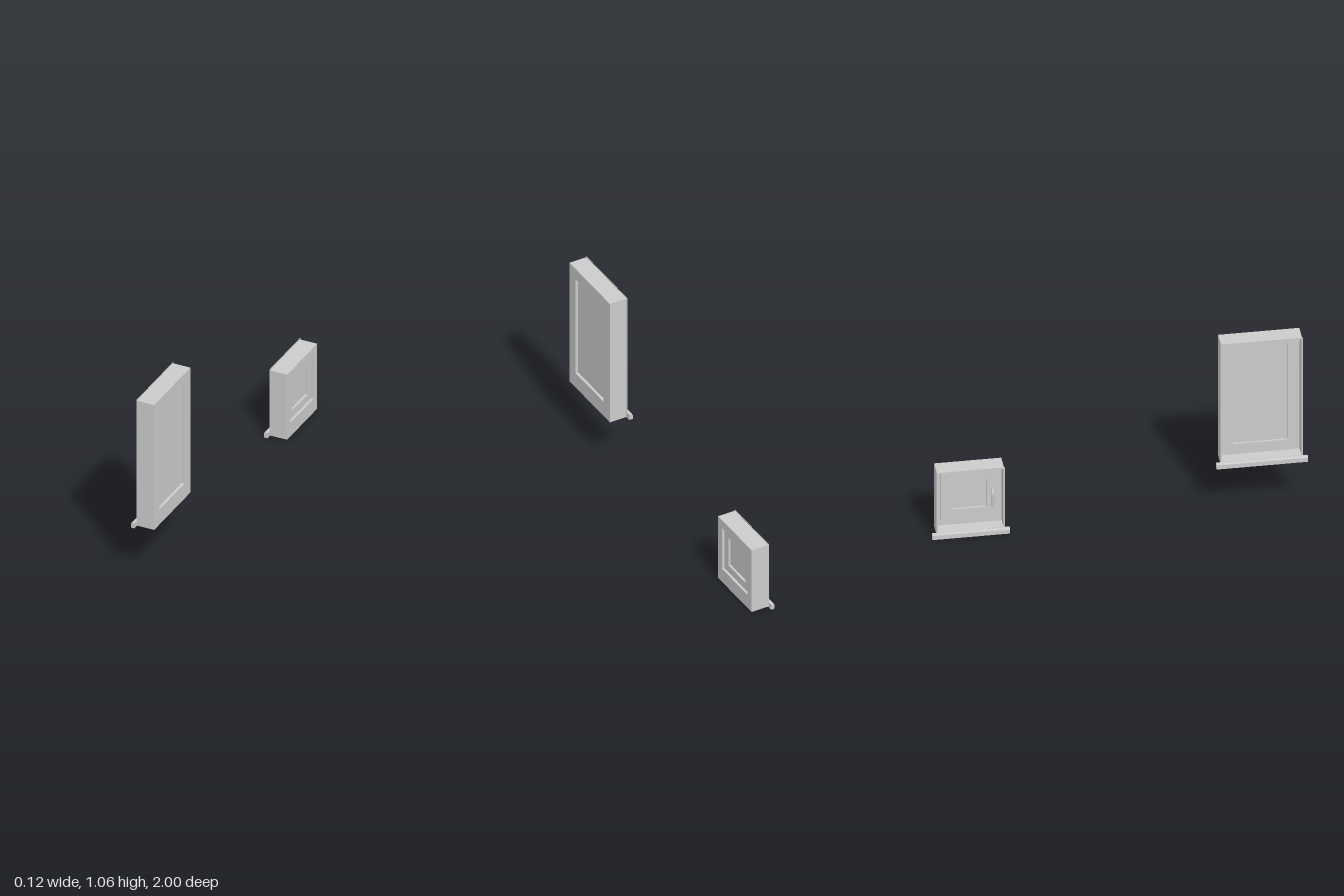
import * as THREE from 'three';

const material = new THREE.MeshStandardMaterial({ color: 0xcccccc, flatShading: true });

function add(parent, name, geometry) {
  const mesh = new THREE.Mesh(geometry, material);
  mesh.name = name;
  parent.add(mesh);
  return mesh;
}

// Rectangles are [zMin, zMax, yMin, yMax]
function grow([z0, z1, y0, y1], d) {
  return [z0 - d, z1 + d, y0 - d, y1 + d];
}

function trace(path, [z0, z1, y0, y1]) {
  path.moveTo(-z1, y0);
  path.lineTo(-z0, y0);
  path.lineTo(-z0, y1);
  path.lineTo(-z1, y1);
  path.closePath();
  return path;
}

// Rectangular ring (or solid panel without a hole) running along x
function ring(outer, inner, x0, x1) {
  const shape = trace(new THREE.Shape(), outer);
  if (inner) shape.holes.push(trace(new THREE.Path(), inner));
  return new THREE.ExtrudeGeometry(shape, { depth: x1 - x0, bevelEnabled: false })
    .rotateY(Math.PI / 2)
    .translate(x0, 0, 0);
}

// Extrude an x/y profile along z
function alongZ(shape, z0, z1) {
  return new THREE.ExtrudeGeometry(shape, { depth: z1 - z0, bevelEnabled: false, curveSegments: 6 })
    .translate(0, 0, z0);
}

function sillNose(y) {
  const s = new THREE.Shape();
  s.moveTo(-0.042, y);
  s.lineTo(-0.063, y);
  s.lineTo(-0.063, y + 0.022);
  s.quadraticCurveTo(-0.063, y + 0.031, -0.054, y + 0.031);
  s.lineTo(-0.042, y + 0.031);
  s.closePath();
  return s;
}

// Frame, reveal lining, trim and sill shared by both windows
function createCasing(name, outer, opening) {
  const group = new THREE.Group();
  group.name = name;
  const [z0, z1, y0, y1] = outer;
  add(group, 'frame', ring(outer, opening, 0.022, 0.06));
  add(group, 'revealLining', ring(outer, grow(outer, -0.004), -0.041, 0.022));
  add(group, 'trim', ring([z0 - 0.004, z1 + 0.004, y0, y1 + 0.005], grow(outer, -0.004), -0.043, -0.041));
  // Inner ledge level with the top of the sill
  const ledge = add(group, 'sillLedge', new THREE.BoxGeometry(0.066, 0.029, z1 - z0 - 0.006));
  ledge.position.set(-0.0105, y0 + 0.0145, (z0 + z1) / 2);
  add(group, 'sillNose', alongZ(sillNose(y0 - 0.003), z0 - 0.028, z1 + 0.028));
  return group;
}

function createHandle() {
  const handle = new THREE.Group();
  handle.name = 'handle';
  const plate = add(handle, 'handlePlate', new THREE.BoxGeometry(0.008, 0.06, 0.022));
  plate.position.set(0.009, 0.245, -0.672);
  // Neck comes out of the plate, then the lever hangs down
  const path = new THREE.CatmullRomCurve3([
    [0.01, 0.25], [-0.02, 0.251], [-0.032, 0.246], [-0.036, 0.233], [-0.036, 0.2], [-0.036, 0.165],
  ].map(([x, y]) => new THREE.Vector3(x, y, -0.672)));
  const lever = add(handle, 'handleLever', new THREE.TubeGeometry(path, 20, 0.007, 10));
  lever.material = new THREE.MeshStandardMaterial({ color: 0xcccccc });
  const tip = add(handle, 'handleTip', new THREE.SphereGeometry(0.007, 10, 8));
  tip.material = lever.material;
  tip.position.set(-0.036, 0.165, -0.672);
  return handle;
}

export function createModel() {
  const model = new THREE.Group();
  model.name = 'windows';

  // Tall fixed window
  const tallOpening = [0.61, 0.905, 0.385, 0.99];
  const tall = createCasing('tallWindow', [0.54, 0.971, 0.293, 1.055], tallOpening);
  add(tall, 'glass', ring(grow(tallOpening, 0.004), null, 0.034, 0.045));
  model.add(tall);

  // Small window with an opening sash
  const smallOpening = [-0.926, -0.655, 0.087, 0.347];
  const sashOpening = [-0.881, -0.7, 0.132, 0.306];
  const small = createCasing('smallWindow', [-0.97, -0.613, 0.003, 0.4], smallOpening);
  add(small, 'sash', ring(grow(smallOpening, 0.018), sashOpening, 0.012, 0.046));
  add(small, 'glass', ring(grow(sashOpening, 0.004), null, 0.024, 0.033));
  small.add(createHandle());
  model.add(small);

  return model;
}
